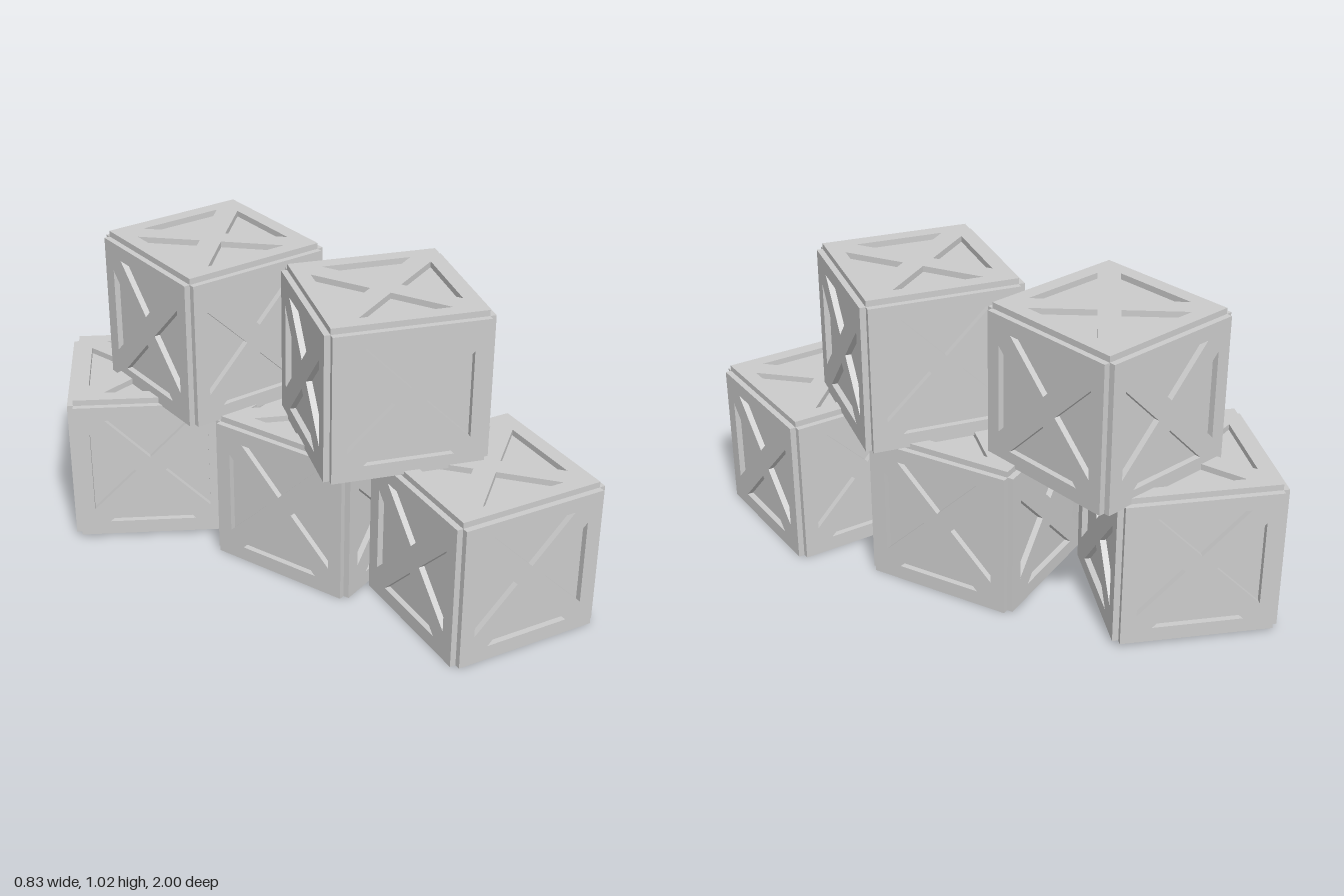
import * as THREE from 'three';

const SIZE = 0.495; // core cube edge
const THICK = 0.02; // panel thickness

// Square panel with four triangular openings that leave an X brace
function panelGeometry() {
  const h = SIZE / 2;
  const shape = new THREE.Shape([
    new THREE.Vector2(-h, -h), new THREE.Vector2(h, -h),
    new THREE.Vector2(h, h), new THREE.Vector2(-h, h),
  ]);
  const origin = new THREE.Vector2();
  for (let i = 0; i < 4; i++) {
    const corners = [[0, 0.05], [-0.147, 0.198], [0.147, 0.198]].map(([x, y]) =>
      new THREE.Vector2(x, y).rotateAround(origin, i * Math.PI / 2));
    shape.holes.push(new THREE.Path(corners));
  }
  return new THREE.ExtrudeGeometry(shape, { depth: THICK, bevelEnabled: false });
}

export function createModel() {
  const model = new THREE.Group();
  model.name = 'crateStack';
  const material = new THREE.MeshStandardMaterial({ color: 0xcccccc, flatShading: true });
  const coreGeometry = new THREE.BoxGeometry(SIZE, SIZE, SIZE);
  const panel = panelGeometry();

  function addCrate(name, x, y, z, degrees) {
    const crate = new THREE.Group();
    crate.name = name;
    crate.position.set(x, y + SIZE / 2, z);
    crate.rotation.y = THREE.MathUtils.degToRad(degrees);

    const core = new THREE.Mesh(coreGeometry, material);
    core.name = 'core';
    crate.add(core);

    // Braced panels on the four sides and the top; the underside stays plain
    const sides = ['frontPanel', 'leftPanel', 'backPanel', 'rightPanel', 'topPanel'];
    sides.forEach((side, i) => {
      const mesh = new THREE.Mesh(panel, material);
      mesh.name = side;
      if (side === 'topPanel') mesh.rotation.x = -Math.PI / 2;
      else mesh.rotation.y = i * Math.PI / 2;
      mesh.translateZ(SIZE / 2);
      crate.add(mesh);
    });
    model.add(crate);
  }

  // Bottom row
  addCrate('frontLowerCrate', 0.051, 0, 0.651, -26.5);
  addCrate('middleLowerCrate', 0.069, 0, 0.03, 0);
  addCrate('backLowerCrate', -0.05, 0.012, -0.637, 40);
  // Top row
  addCrate('frontUpperCrate', 0.049, 0.504, 0.265, -39.2);
  addCrate('backUpperCrate', 0.055, 0.504, -0.417, -18.3);

  return model;
}
